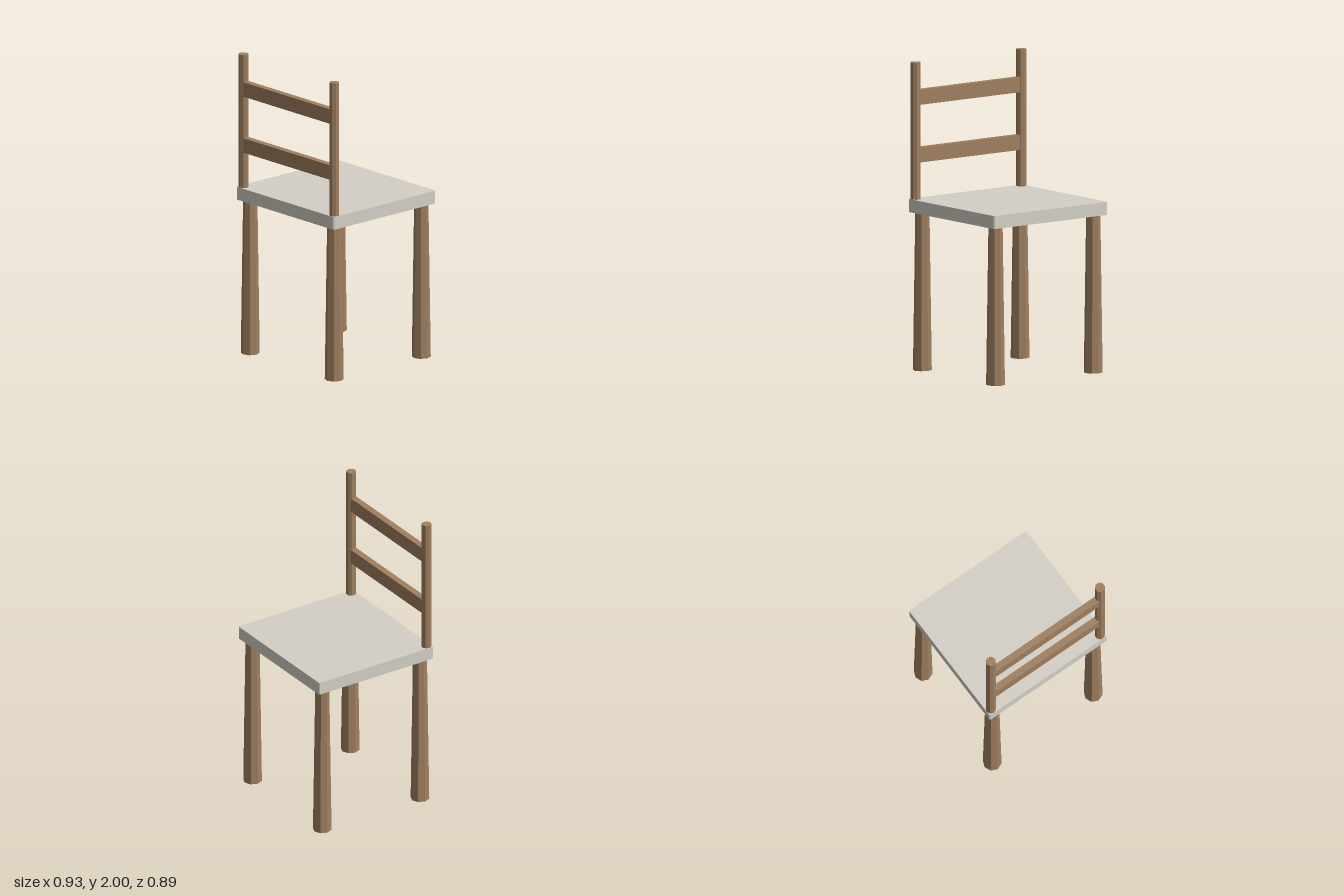
import * as THREE from 'three';

const wood = new THREE.MeshStandardMaterial({ color: 0xa08060, flatShading: true });
const cream = new THREE.MeshStandardMaterial({ color: 0xd4d0c7, flatShading: true });

const SEAT_BOTTOM = 1.025;
const SEAT_TOP = 1.11;
const BACK_Z = 0.41;

function add(group, name, geometry, material, x, y, z) {
  const mesh = new THREE.Mesh(geometry, material);
  mesh.name = name;
  mesh.position.set(x, y, z);
  group.add(mesh);
  return mesh;
}

// Square slab with slightly clipped vertical corners
function seatGeometry(halfX, halfZ, c) {
  const shape = new THREE.Shape([
    [halfX - c, -halfZ], [halfX, c - halfZ], [halfX, halfZ - c], [halfX - c, halfZ],
    [c - halfX, halfZ], [-halfX, halfZ - c], [-halfX, c - halfZ], [c - halfX, -halfZ],
  ].map(([x, y]) => new THREE.Vector2(x, y)));
  return new THREE.ExtrudeGeometry(shape, { depth: SEAT_TOP - SEAT_BOTTOM, bevelEnabled: false })
    .rotateX(-Math.PI / 2);
}

export function createModel() {
  const chair = new THREE.Group();
  chair.name = 'chair';

  add(chair, 'seat', seatGeometry(0.465, 0.443, 0.006), cream, 0, SEAT_BOTTOM, 0);

  // Four tapered octagonal legs, wider at the floor
  const leg = new THREE.CylinderGeometry(0.046, 0.061, SEAT_BOTTOM + 0.01, 8);
  for (const [side, sx] of [['left', 1], ['right', -1]]) {
    for (const [end, z] of [['back', 0.38], ['front', -0.376]]) {
      add(chair, `${side}${end === 'back' ? 'Backrest' : 'Open'}Leg`, leg, wood,
        sx * 0.4, (SEAT_BOTTOM + 0.01) / 2, z);
    }

    // Backrest post standing on the seat
    const bottom = SEAT_TOP - 0.04;
    const post = new THREE.CylinderGeometry(0.033, 0.033, 2 - bottom, 8);
    const mesh = add(chair, `${side}Post`, post, wood, sx * 0.432, (2 + bottom) / 2, BACK_Z - 0.001);
    if (sx > 0) mesh.rotation.y = Math.PI / 8;
  }

  // Two horizontal slats between the posts
  const slat = new THREE.BoxGeometry(0.84, 0.097, 0.044);
  add(chair, 'lowerSlat', slat, wood, 0, 1.396, BACK_Z);
  add(chair, 'upperSlat', slat, wood, 0, 1.771, BACK_Z);

  return chair;
}
